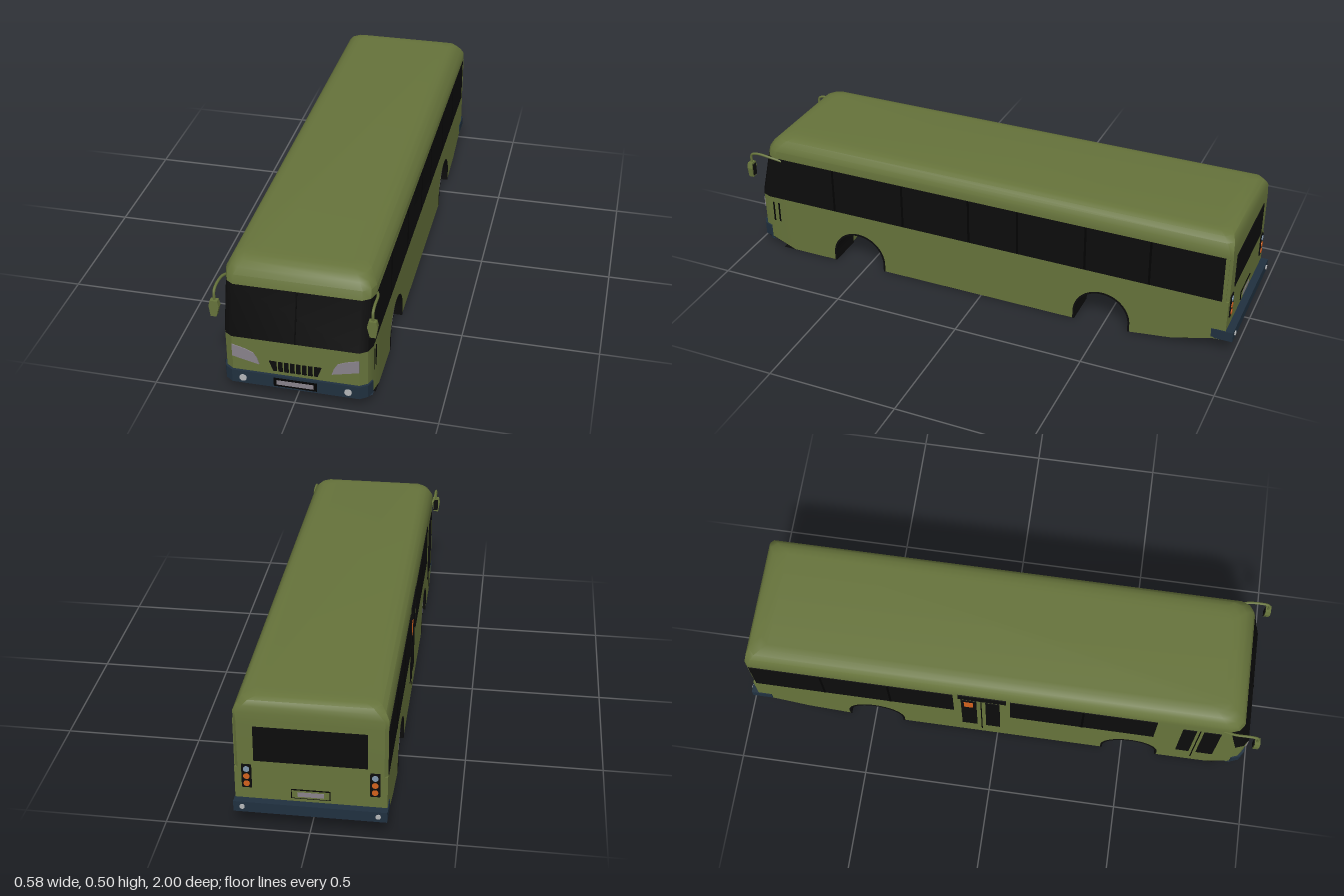
import * as THREE from 'three';
import { toCreasedNormals } from 'three/addons/utils/BufferGeometryUtils.js';

const mat = (name, color) => Object.assign(new THREE.MeshStandardMaterial({ color }), { name });

export function createModel() {
  const bus = new THREE.Group();
  bus.name = 'bus';
  const green = mat('olive paint', 0x66733b);
  const glass = mat('black glass', 0x0c0c0c);
  const seam = mat('window seam', 0x020202);
  const navy = mat('navy bumper', 0x20303f);
  const grey = mat('headlight grey', 0x88828a);
  const silver = mat('lamp silver', 0xb4b6b8);
  const orange = mat('lamp orange', 0xd2601c);
  const blue = mat('lamp blue grey', 0x7f95ac);

  const add = (name, geo, m, x = 0, y = 0, z = 0) => {
    const mesh = new THREE.Mesh(geo, m);
    mesh.name = name;
    mesh.position.set(x, y, z);
    bus.add(mesh);
    return mesh;
  };
  const box = (name, m, w, h, d, x, y, z) => add(name, new THREE.BoxGeometry(w, h, d), m, x, y, z);

  // Horizontal outline with chamfered front corners and small rear chamfers
  const ring = (y, w, zf, zb, c = 0.012) => {
    const half = [[w, zb + c], [w, zf - 0.05], [w - 0.012, zf - 0.018], [w - 0.038, zf]];
    const other = half.map(([x, z]) => [-x, z]).reverse();
    return [...half, ...other, [-(w - c), zb], [w - c, zb]].map(([x, z]) => new THREE.Vector3(x, y, z));
  };
  // Skin stacked outlines, one mesh per material
  const loft = (name, rings, pick) => {
    const buckets = new Map();
    const tri = (m, ...pts) => {
      if (!buckets.has(m)) buckets.set(m, []);
      pts.forEach(p => buckets.get(m).push(p.x, p.y, p.z));
    };
    const n = rings[0].length;
    for (let r = 0; r < rings.length - 1; r++) {
      for (let i = 0; i < n; i++) {
        const j = (i + 1) % n, lo = rings[r], hi = rings[r + 1], m = pick(r, i);
        tri(m, lo[i], hi[i], hi[j]);
        tri(m, lo[i], hi[j], lo[j]);
      }
    }
    const bottom = rings[0], top = rings[rings.length - 1];
    for (let i = 1; i < n - 1; i++) {
      tri(pick(-1, i), bottom[0], bottom[i], bottom[i + 1]);
      tri(pick(rings.length, i), top[0], top[i + 1], top[i]);
    }
    for (const [m, pos] of buckets) {
      const g = new THREE.BufferGeometry();
      g.setAttribute('position', new THREE.Float32BufferAttribute(pos, 3));
      add(name, toCreasedNormals(g, 0.6), m);
    }
  };
  // Side profile (z, y) extruded across x, centred on x
  const across = (shape, width, x = 0) => {
    const g = new THREE.ExtrudeGeometry(shape, { depth: width, bevelEnabled: false, curveSegments: 20 });
    return g.rotateY(-Math.PI / 2).translate(x + width / 2, 0, 0);
  };

  // Upper body: window band, then rounded roof
  const upper = [
    ring(0.23, 0.26, 0.978, -0.968), ring(0.415, 0.26, 0.935, -0.968),
    ring(0.447, 0.26, 0.926, -0.966), ring(0.47, 0.248, 0.912, -0.962, 0.02),
    ring(0.488, 0.234, 0.892, -0.952, 0.025), ring(0.497, 0.212, 0.868, -0.935, 0.03),
    ring(0.5, 0.19, 0.84, -0.91, 0.03),
  ];
  loft('upperBody', upper, (r, i) => (r === 0 && i < 6 ? glass : green));

  // Nose with dark sloping underside
  const nose = [ring(0, 0.26, 0.88, 0.8), ring(0.04, 0.26, 0.975, 0.8), ring(0.23, 0.26, 0.978, 0.8)];
  loft('nose', nose, (r, i) => (r === -1 || (r === 0 && i > 0 && i < 6) ? glass : green));
  loft('frontBumper', [ring(0.03, 0.26, 0.965, 0.925), ring(0.042, 0.262, 0.985, 0.925), ring(0.092, 0.262, 0.985, 0.925)], () => navy);

  // Lower body with wheel arches cut right through
  const arches = [-0.492, 0.53], R = 0.113, H = 0.033;
  const side = new THREE.Shape();
  side.moveTo(-0.968, 0.23).lineTo(-0.968, 0.065).lineTo(-0.92, 0.062).lineTo(-0.77, 0.02).lineTo(-0.61, 0);
  for (const c of arches) {
    side.lineTo(c - R, 0).lineTo(c - R, H).absarc(c, H, R, Math.PI, 0, true).lineTo(c + R, 0);
  }
  side.lineTo(0.82, 0).lineTo(0.82, 0.23);
  add('lowerBody', toCreasedNormals(across(side, 0.52), 0.6), green);

  // Dark arch liners on both sides
  for (const c of arches) {
    const liner = new THREE.Shape();
    liner.moveTo(c - R, 0).lineTo(c - R, H).absarc(c, H, R, Math.PI, 0, true).lineTo(c + R, 0);
    liner.lineTo(c + R - 0.007, 0).lineTo(c + R - 0.007, H).absarc(c, H, R - 0.007, 0, Math.PI, false).lineTo(c - R + 0.007, 0);
    for (const s of [-1, 1]) add('wheelArchLiner', toCreasedNormals(across(liner, 0.141, s * 0.191), 0.6), glass);
  }

  // Dark floor plates between the arches and under the tail
  const floors = [[0.88, 0, 0.643, 0], [0.417, 0, -0.379, 0], [-0.605, 0, -0.77, 0.02], [-0.77, 0.02, -0.92, 0.062]];
  for (const [z1, y1, z2, y2] of floors) {
    const f = new THREE.Shape();
    f.moveTo(z1, y1 - 0.001).lineTo(z1, y1 + 0.002).lineTo(z2, y2 + 0.002).lineTo(z2, y2 - 0.001);
    add('floor', across(f, 0.518), glass);
  }

  // Seams on the left window band and the windshield
  for (const z of [0.63, 0.33, 0.05, -0.15, -0.42, -0.67]) box('windowSeam', seam, 0.002, 0.18, 0.008, 0.26, 0.323, z);
  box('leftRearPost', green, 0.003, 0.186, 0.014, 0.2595, 0.323, -0.951);
  box('windshieldSeam', seam, 0.005, 0.188, 0.003, 0, 0.3225, 0.9565).rotation.x = -0.228;

  // Right side windows and doors
  const rightPlate = (name, m, z1, z2, y1, y2, t = 0.005) =>
    box(name, m, t, y2 - y1, z2 - z1, -0.26, (y1 + y2) / 2, (z1 + z2) / 2);
  rightPlate('rearSideWindow', glass, -0.955, -0.17, 0.235, 0.415);
  rightPlate('frontSideWindow', glass, 0.05, 0.61, 0.235, 0.415);
  for (const z of [-0.68, -0.42, 0.33]) rightPlate('windowSeam', seam, z - 0.004, z + 0.004, 0.235, 0.413, 0.007);
  rightPlate('doorHeader', glass, -0.15, 0.035, 0.385, 0.425, 0.008);
  rightPlate('middleDoorGlass', glass, -0.14, -0.08, 0.09, 0.37);
  rightPlate('middleDoorGlass', glass, -0.045, 0.01, 0.09, 0.37);
  rightPlate('doorSign', orange, -0.128, -0.093, 0.3, 0.352, 0.008);
  rightPlate('frontDoorGlass', glass, 0.71, 0.762, 0.11, 0.375);
  rightPlate('frontDoorGlass', glass, 0.79, 0.855, 0.11, 0.375);
  for (const z of [-0.062, 0.776]) rightPlate('doorGap', seam, z - 0.002, z + 0.002, 0.04, 0.38, 0.003);

  // Vents behind the left front corner
  for (const z of [0.912, 0.888]) box('sideVent', seam, 0.006, 0.085, 0.006, 0.259, 0.165, z);

  // Headlights
  for (const s of [-1, 1]) {
    const pts = [[0.222, 0.198], [0.175, 0.185], [0.147, 0.172], [0.134, 0.15], [0.127, 0.127], [0.222, 0.15]];
    const lamp = new THREE.Shape(pts.map(([x, y]) => new THREE.Vector2(s * x, y)));
    add('headlight', new THREE.ExtrudeGeometry(lamp, { depth: 0.006, bevelEnabled: false }), grey, 0, 0, 0.975);
    const fog = new THREE.CylinderGeometry(0.013, 0.013, 0.006, 16).rotateX(Math.PI / 2);
    add('fogLamp', fog, silver, s * 0.185, 0.065, 0.985);
  }

  // Grille: slots with slanted ends
  for (let i = 0; i < 6; i++) box('grilleSlot', glass, 0.015, 0.039, 0.006, -0.0525 + i * 0.021, 0.127, 0.977);
  for (const s of [-1, 1]) {
    const end = new THREE.Shape([[0.066, 0.108], [0.078, 0.108], [0.092, 0.147], [0.066, 0.147]].map(([x, y]) => new THREE.Vector2(s * x, y)));
    add('grilleEnd', new THREE.ExtrudeGeometry(end, { depth: 0.006, bevelEnabled: false }), glass, 0, 0, 0.974);
  }

  // Blank number plates
  box('frontPlateFrame', seam, 0.152, 0.034, 0.006, 0, 0.066, 0.984);
  box('frontPlate', grey, 0.13, 0.018, 0.008, 0, 0.066, 0.9845);
  box('rearPlateFrame', seam, 0.135, 0.036, 0.006, 0, 0.137, -0.968);
  box('rearPlateBorder', green, 0.129, 0.03, 0.008, 0, 0.137, -0.968);
  box('rearPlate', grey, 0.09, 0.018, 0.009, 0, 0.137, -0.9685);

  // Rear window, bumper and lamp clusters
  box('rearWindow', glass, 0.385, 0.135, 0.008, 0, 0.328, -0.967);
  box('rearBumper', navy, 0.524, 0.04, 0.07, 0, 0.086, -0.961);
  for (const s of [-1, 1]) {
    box('bumperWing', navy, 0.006, 0.035, 0.08, s * 0.26, 0.088, -0.955);
    add('bumperLamp', new THREE.CylinderGeometry(0.009, 0.009, 0.006, 12).rotateX(Math.PI / 2), silver, s * 0.232, 0.088, -0.997);
    box('lampHousing', glass, 0.034, 0.092, 0.008, s * 0.218, 0.197, -0.968);
    [orange, orange, blue].forEach((m, i) =>
      add('rearLamp', new THREE.CylinderGeometry(0.011, 0.011, 0.007, 14).rotateX(Math.PI / 2), m, s * 0.218, 0.168 + i * 0.029, -0.971));
  }

  // Mirrors on curved arms
  for (const s of [-1, 1]) {
    const path = new THREE.CatmullRomCurve3([[0.257, 0.405, 0.86], [0.268, 0.418, 0.9], [0.27, 0.424, 0.96], [0.27, 0.415, 0.986], [0.27, 0.37, 0.988]]
      .map(([x, y, z]) => new THREE.Vector3(s * x, y, z)));
    add('mirrorArm', new THREE.TubeGeometry(path, 20, 0.005, 8), green);
    const head = new THREE.Shape([[0.257, 0.382], [0.283, 0.382], [0.288, 0.36], [0.282, 0.32], [0.262, 0.32], [0.252, 0.36]]
      .map(([x, y]) => new THREE.Vector2(s * x, y)));
    add('mirrorHead', new THREE.ExtrudeGeometry(head, { depth: 0.02, bevelEnabled: false }), green, 0, 0, 0.98);
    const face = box('mirrorGlass', glass, 0.02, 0.048, 0.004, s * 0.27, 0.351, 0.979);
    face.name = 'mirrorGlass';
  }
  return bus;
}
